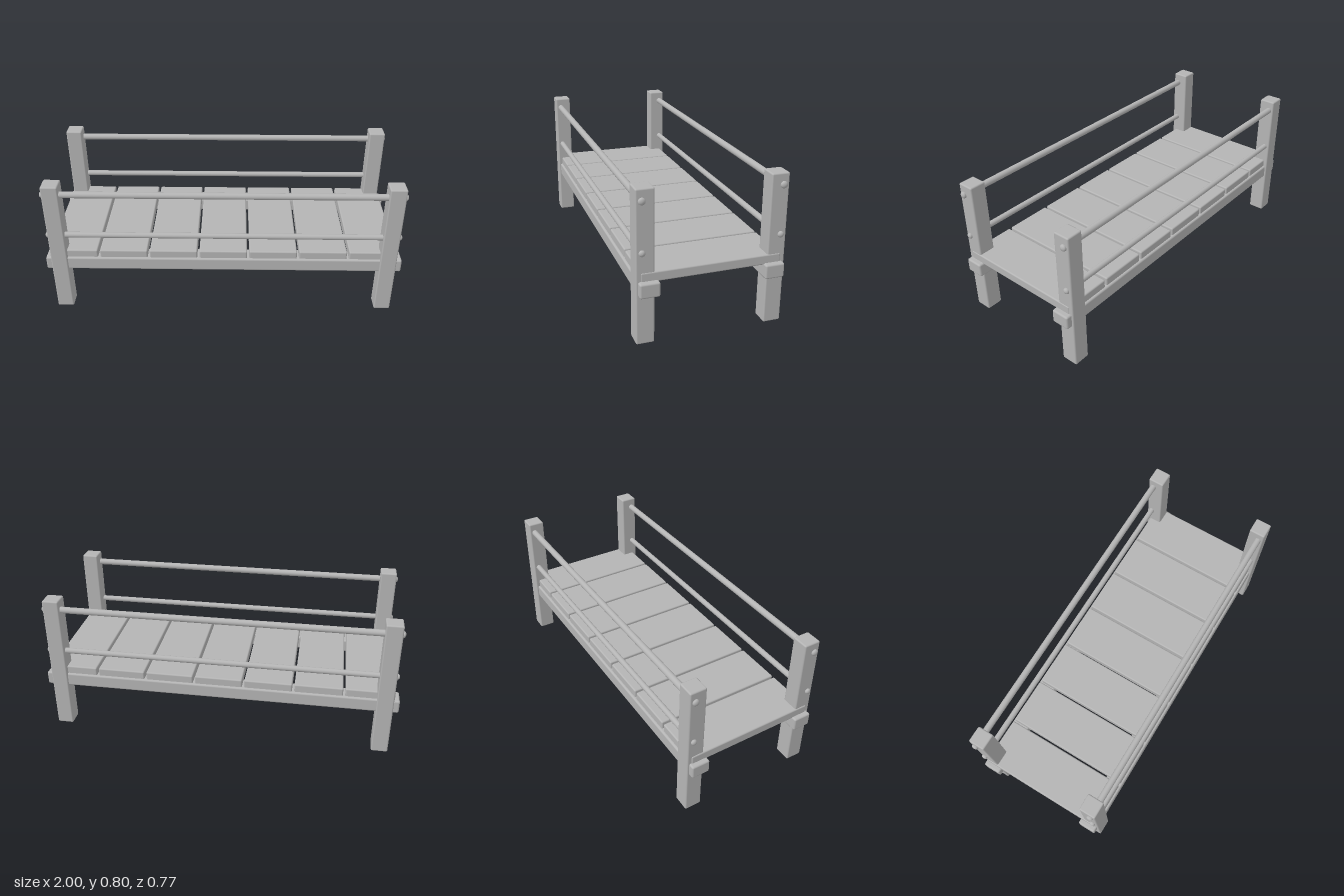
import * as THREE from 'three';
import { RoundedBoxGeometry } from 'three/addons/geometries/RoundedBoxGeometry.js';

export function createModel() {
  const model = new THREE.Group();
  model.name = 'railedBench';

  const grey = new THREE.MeshStandardMaterial({ color: 0xb4b4b4 });
  grey.name = 'plain grey';

  const add = (name, geometry, x, y, z) => {
    const mesh = new THREE.Mesh(geometry, grey);
    mesh.name = name;
    mesh.position.set(x, y, z);
    model.add(mesh);
    return mesh;
  };
  const block = (w, h, d, r = 0.008) => new RoundedBoxGeometry(w, h, d, 2, r);

  // Round rail along x with shallow domed ends
  const railGeometry = (halfLength, radius) => {
    const dome = 0.011;
    const end = [];
    for (let i = 0; i <= 4; i++) {
      const a = (i / 4) * Math.PI / 2;
      end.push(new THREE.Vector2(radius * Math.sin(a), halfLength - dome + dome * Math.cos(a)));
    }
    const start = end.map(p => new THREE.Vector2(p.x, -p.y));
    const profile = [...start, ...end.reverse()];
    return new THREE.LatheGeometry(profile, 20).rotateZ(Math.PI / 2);
  };

  const postGeometry = block(0.092, 0.797, 0.093);
  const beamGeometry = block(2, 0.077, 0.102, 0.01);
  const upperRail = railGeometry(0.983, 0.018);
  const lowerRail = railGeometry(0.983, 0.016);

  for (const side of [-1, 1]) {
    const where = side > 0 ? 'front' : 'back';
    // Corner posts
    for (const end of [-1, 1]) {
      add(`${where}${end > 0 ? 'Left' : 'Right'}Post`, postGeometry, end * 0.922, 0.3985, side * 0.3365);
    }
    // Long support beam under the slats
    add(`${where}Beam`, beamGeometry, 0, 0.2985, side * 0.3215);
    // Two guard rails running through the posts
    add(`${where}UpperRail`, upperRail, 0, 0.738, side * 0.353);
    add(`${where}LowerRail`, lowerRail, 0, 0.482, side * 0.353);
  }

  // Seven deck slats
  const slatGeometry = block(0.267, 0.053, 0.72);
  for (let i = 0; i < 7; i++) {
    add(`slat${i + 1}`, slatGeometry, (i - 3) * 0.2795 - 0.001, 0.3545, 0);
  }

  return model;
}
